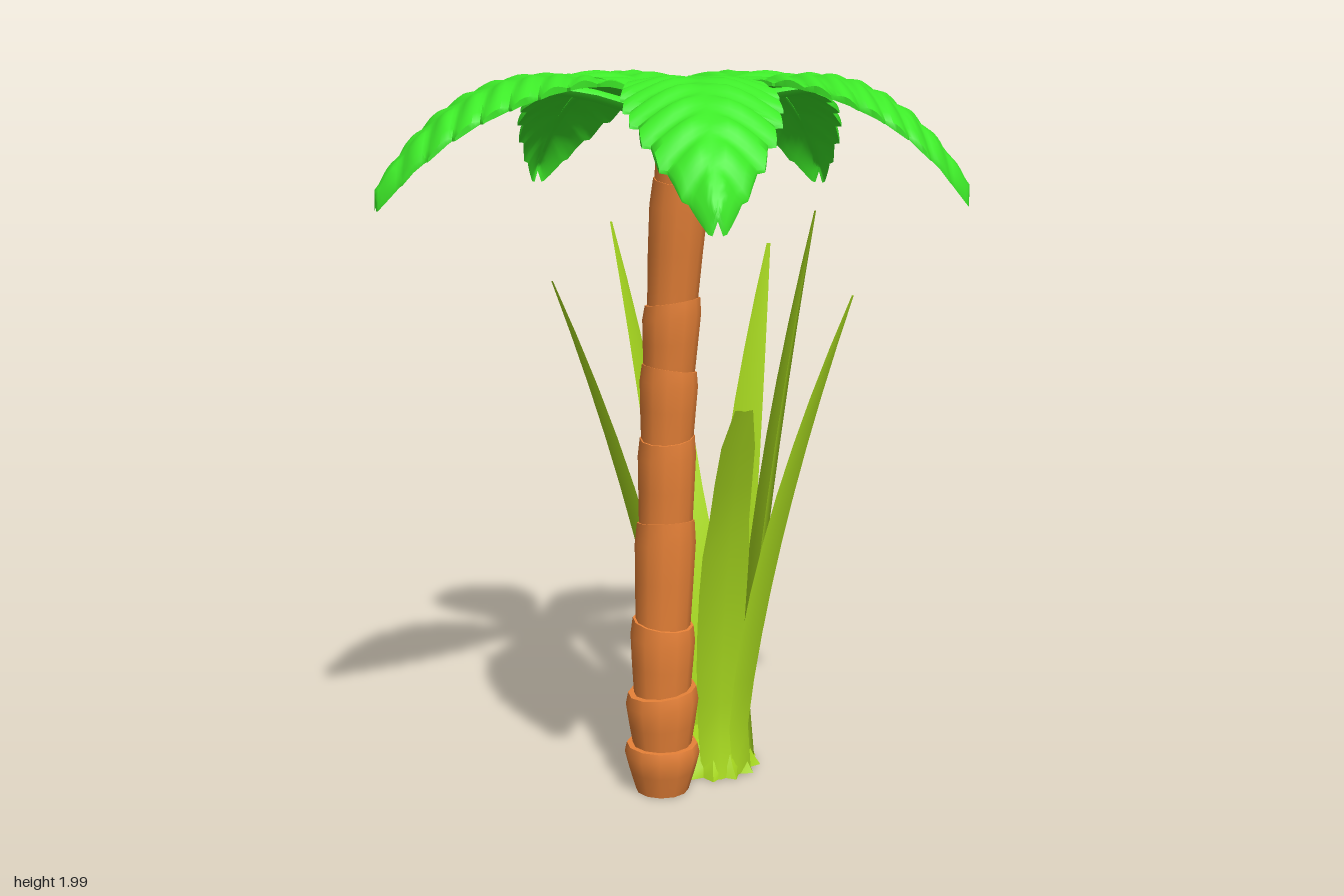
import * as THREE from 'three';
import { toCreasedNormals } from 'three/addons/utils/BufferGeometryUtils.js';

const V = (x, y, z) => new THREE.Vector3(x, y, z);
const leafMat = new THREE.MeshStandardMaterial({ color: 0x3dea28, side: THREE.DoubleSide });
const trunkMat = new THREE.MeshStandardMaterial({ color: 0xe88238 });
const grassMat = new THREE.MeshStandardMaterial({ color: 0xaadc20, side: THREE.DoubleSide });

// Evenly spaced table lookup, s in 0..1
function sample(table, s) {
  const f = THREE.MathUtils.clamp(s, 0, 1) * (table.length - 1);
  const i = Math.min(Math.floor(f), table.length - 2);
  return THREE.MathUtils.lerp(table[i], table[i + 1], f - i);
}

// Skin over closed cross-sections, with end caps
function loft(rings, crease) {
  const n = rings[0].length, pos = [], idx = [];
  rings.forEach(r => r.forEach(p => pos.push(p.x, p.y, p.z)));
  for (let i = 0; i < rings.length - 1; i++) {
    for (let j = 0; j < n; j++) {
      const a = i * n + j, b = i * n + (j + 1) % n, c = a + n, d = b + n;
      idx.push(a, c, b, b, c, d);
    }
  }
  [0, rings.length - 1].forEach(r => {
    const mid = rings[r].reduce((s, p) => s.add(p), V(0, 0, 0)).divideScalar(n);
    const m = pos.length / 3;
    pos.push(mid.x, mid.y, mid.z);
    for (let j = 0; j < n; j++) {
      const a = r * n + j, b = r * n + (j + 1) % n;
      if (r === 0) idx.push(m, a, b);
      else idx.push(m, b, a);
    }
  });
  const g = new THREE.BufferGeometry();
  g.setAttribute('position', new THREE.Float32BufferAttribute(pos, 3));
  g.setIndex(idx);
  return toCreasedNormals(g, crease);
}

function add(parent, name, geometry, material) {
  const m = new THREE.Mesh(geometry, material);
  m.name = name;
  parent.add(m);
  return m;
}

// Leaning trunk of stacked segments, each flaring at its upper rim
function makeTrunk() {
  const trunk = new THREE.Group();
  trunk.name = 'trunk';
  const spine = new THREE.CatmullRomCurve3([
    V(-0.1, 0, -0.03), V(-0.095, 0.4, -0.025), V(-0.08, 0.8, -0.02),
    V(-0.06, 1.2, -0.005), V(-0.028, 1.55, 0.01), V(0.025, 1.91, 0.035)]);
  // lower height, upper height, lower radius, upper radius
  const segments = [
    [0, 0.14, 0.075, 0.106], [0.12, 0.3, 0.08, 0.102], [0.27, 0.5, 0.078, 0.09],
    [0.48, 0.79, 0.076, 0.084], [0.77, 1.03, 0.073, 0.079], [1.01, 1.22, 0.07, 0.078],
    [1.2, 1.4, 0.068, 0.078], [1.38, 1.72, 0.066, 0.076], [1.69, 1.905, 0.068, 0.072]];
  segments.forEach(([y0, y1, r0, r1], k) => {
    const rings = [[0, r0], [0.45, r0 * 0.4 + r1 * 0.6], [0.8, r1], [1, r1 * 0.94]].map(([t, r]) => {
      const y = y0 + (y1 - y0) * t, c = spine.getPoint(y / 1.91);
      return Array.from({ length: 12 }, (_, j) => {
        const a = j / 12 * Math.PI * 2;
        const tilt = y0 > 0 && y1 < 1.9 ? 0.012 * t * Math.sin(a + k * 2.4) : 0;
        return V(c.x + r * Math.cos(a), y + tilt, c.z + r * Math.sin(a));
      });
    });
    add(trunk, 'trunkSegment', loft(rings, 0.8), trunkMat);
  });
  return trunk;
}

// Saw-edged palm leaf along local +z: pleated on top, smooth below, with a midrib
const leafHeight = [1.93, 1.935, 1.955, 1.975, 1.985, 1.985, 1.97, 1.937, 1.888, 1.818, 1.72];
const leafWidth = [0.075, 0.073, 0.105, 0.155, 0.174, 0.176, 0.168, 0.146, 0.112, 0.066, 0.012];

function makeLeaf(length) {
  const leaf = new THREE.Group();
  leaf.name = 'palmLeaf';
  const teeth = 11, perTooth = 7, cols = 12, rings = [];
  for (let i = 0; i <= teeth * perTooth; i++) {
    const s = i / (teeth * perTooth);
    const p = (i % perTooth) / (perTooth - 1);
    const fade = THREE.MathUtils.smoothstep(s, 0.1, 0.25);
    const w = sample(leafWidth, s) * (1 + fade * 0.11 * (p - 0.5));
    const top = [], under = [];
    for (let j = 0; j <= cols; j++) {
      const v = j / cols * 2 - 1, av = Math.abs(v);
      // Ribs sweep toward the tip as they reach the edge
      const z = Math.min(length * s + 0.4 * av * w * fade, length);
      const pleat = 0.016 * fade * Math.sin(Math.PI * p) * Math.min(1, av * 2.5) * (1 - 0.4 * av);
      const droop = 0.045 * av * av * THREE.MathUtils.smoothstep(s, 0.15, 0.55);
      const y = sample(leafHeight, z / length) - droop;
      top.push(V(v * w, y + pleat, z));
      under.push(V(v * w, y - 0.008 - 0.02 * (1 - s) * (1 - av * av), z));
    }
    rings.push([...top, ...under.reverse()]);
  }
  add(leaf, 'leafBlade', loft(rings, 1), leafMat);

  const rib = [];
  for (let i = 0; i <= 16; i++) {
    const s = i / 16 * 0.95, r = 0.036 * (1 - s) + 0.003;
    const y = sample(leafHeight, s) - 0.008 - r;
    rib.push(Array.from({ length: 8 }, (_, j) => {
      const a = -j / 8 * Math.PI * 2;
      return V(r * Math.cos(a), y + 0.6 * r * Math.sin(a), s * length);
    }));
  }
  add(leaf, 'leafMidrib', loft(rib, 1.2), leafMat);
  return leaf;
}

function makeCrown() {
  const crown = new THREE.Group();
  crown.name = 'crown';
  const cx = 0.015, cz = 0.04;
  // Tip positions on the ground plane
  [[0.015, -0.69], [0.685, -0.24], [0.52, 0.69], [-0.465, 0.67], [-0.685, -0.27]].forEach(([x, z]) => {
    const leaf = makeLeaf(Math.hypot(x - cx, z - cz));
    leaf.rotation.y = Math.atan2(x - cx, z - cz);
    leaf.position.set(cx, 0, cz);
    crown.add(leaf);
  });
  const profile = [[0, 1.885], [0.07, 1.888], [0.1, 1.905], [0.105, 1.925], [0.08, 1.934], [0, 1.938]];
  const hub = new THREE.LatheGeometry(profile.map(([r, y]) => new THREE.Vector2(r, y)), 20);
  add(crown, 'crownHub', hub, leafMat).position.set(cx, 0, cz);
  return crown;
}

// Long blade with a flattened diamond section, bending out to its tip
const clumpX = -0.08, clumpZ = -0.26;

function makeBlade(tip, blunt) {
  const out = V(tip.x - clumpX, 0, tip.z - clumpZ).normalize();
  const side = V(-out.z, 0, out.x);
  const base = V(clumpX, 0, clumpZ).addScaledVector(out, 0.09);
  const widths = blunt
    ? [0.05, 0.056, 0.062, 0.066, 0.068, 0.068, 0.066, 0.056, 0.052, 0.046, 0.024]
    : [0.056, 0.058, 0.062, 0.065, 0.064, 0.06, 0.054, 0.045, 0.034, 0.021, 0.006];
  const rings = widths.map((w, i) => {
    const t = i / (widths.length - 1);
    const bend = Math.pow(t, blunt ? 2.2 : 1.6);
    const c = V(
      THREE.MathUtils.lerp(base.x, tip.x, bend), tip.y * t,
      THREE.MathUtils.lerp(base.z, tip.z, bend));
    // Foot splays slightly outward
    if (i === 0) c.addScaledVector(out, 0.02);
    const at = (s, o) => c.clone().addScaledVector(side, s * w).addScaledVector(out, o * w);
    return [at(0, 0.38), at(1, -0.15), at(0, -0.25), at(-1, -0.15)];
  });
  return loft(rings, 1.1);
}

function makeGrass() {
  const grass = new THREE.Group();
  grass.name = 'grassClump';
  [[-0.11, 1.49, -0.62], [-0.4, 1.57, -0.23], [-0.37, 1.44, 0.09], [0.34, 1.41, -0.29], [0.13, 1.61, -0.46]]
    .forEach(p => add(grass, 'grassBlade', makeBlade(V(...p), false), grassMat));
  [[-0.36, 1.13, -0.45], [0.18, 1.13, 0]]
    .forEach(p => add(grass, 'bluntGrassBlade', makeBlade(V(...p), true), grassMat));

  // Ragged foot tying the blades together
  const foot = [[0, 0.115, 0.145], [0.03, 0.11, 0.125], [0.09, 0.09, 0.095]].map(([y, inner, outer]) =>
    Array.from({ length: 26 }, (_, j) => {
      const a = j / 26 * Math.PI * 2, r = j % 2 ? inner : outer;
      return V(clumpX + r * Math.cos(a), y, clumpZ + r * Math.sin(a));
    }));
  add(grass, 'grassFoot', loft(foot, 0.5), grassMat);
  return grass;
}

export function createModel() {
  const model = new THREE.Group();
  model.name = 'palmTree';
  model.add(makeTrunk(), makeCrown(), makeGrass());
  return model;
}
